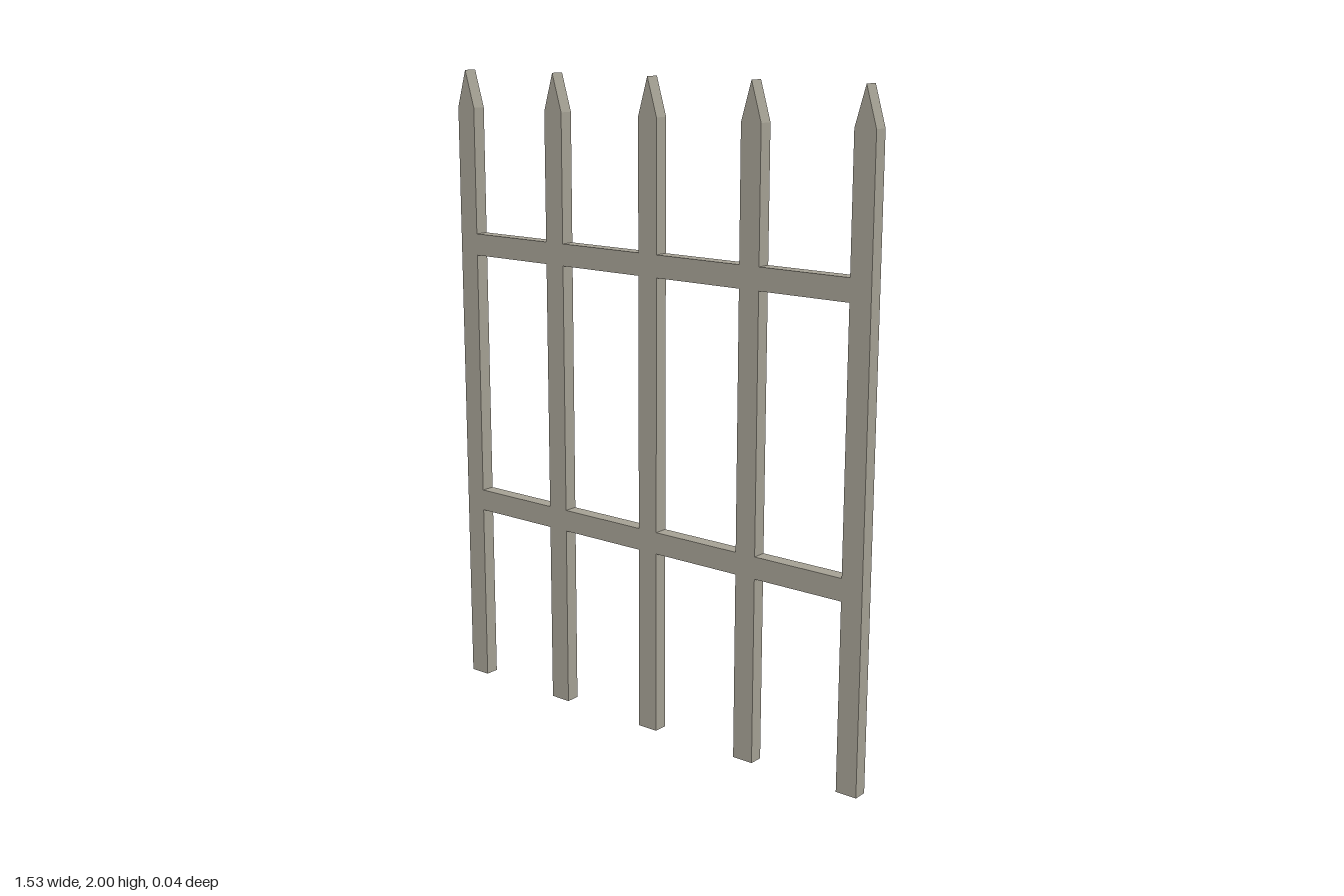
import * as THREE from 'three';

const DEPTH = 0.044;
const WIDTH = 0.068;   // picket width
const SPACING = 0.366; // distance between picket centres
const COUNT = 5;

export function createModel() {
  const fence = new THREE.Group();
  fence.name = 'picketFence';
  const material = new THREE.MeshStandardMaterial({ color: 0xa4a093, flatShading: true });

  const add = (geometry, name, x, y, z) => {
    const mesh = new THREE.Mesh(geometry, material);
    mesh.name = name;
    mesh.position.set(x, y, z);
    fence.add(mesh);
  };

  // Upright picket with a pointed tip
  const outline = new THREE.Shape([
    new THREE.Vector2(-WIDTH / 2, 0),
    new THREE.Vector2(WIDTH / 2, 0),
    new THREE.Vector2(WIDTH / 2, 1.885),
    new THREE.Vector2(0, 2),
    new THREE.Vector2(-WIDTH / 2, 1.885),
  ]);
  const picket = new THREE.ExtrudeGeometry(outline, { depth: DEPTH, bevelEnabled: false });

  // Rail piece filling the gap between two pickets, flush front and back
  const rail = new THREE.BoxGeometry(SPACING - WIDTH, 0.068, DEPTH);

  for (let i = 0; i < COUNT; i++) {
    const x = (i - (COUNT - 1) / 2) * SPACING;
    add(picket, `picket${i + 1}`, x, 0, -DEPTH / 2);
    if (i < COUNT - 1) {
      add(rail, `lowerRail${i + 1}`, x + SPACING / 2, 0.612, 0);
      add(rail, `upperRail${i + 1}`, x + SPACING / 2, 1.457, 0);
    }
  }
  return fence;
}
